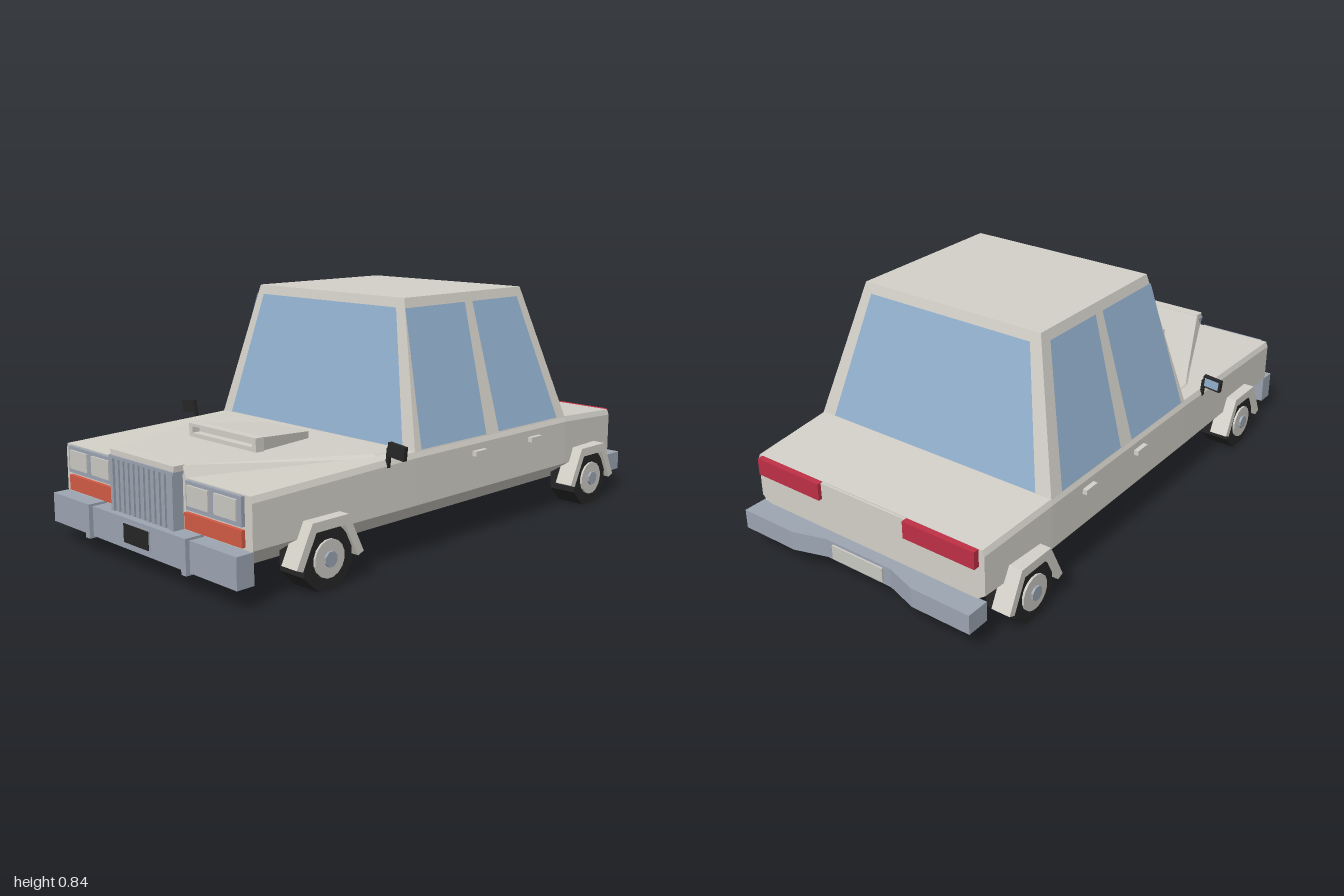
import * as THREE from 'three';

const mat = (name, color, extra = {}) => {
  const m = new THREE.MeshStandardMaterial({ color, flatShading: true, ...extra });
  m.name = name;
  return m;
};

// Skins matching cross-sections, listed front to back, each counter-clockwise seen from +z.
function loft(sections) {
  const pos = [];
  const tri = (...p) => p.forEach((v) => pos.push(...v));
  const n = sections[0].length;
  for (let s = 0; s < sections.length - 1; s++) {
    const a = sections[s], b = sections[s + 1];
    for (let i = 0; i < n; i++) {
      const j = (i + 1) % n;
      tri(a[i], b[i], a[j]);
      tri(a[j], b[i], b[j]);
    }
  }
  const first = sections[0], last = sections[sections.length - 1];
  for (let i = 1; i < n - 1; i++) {
    tri(first[0], first[i], first[i + 1]);
    tri(last[0], last[i + 1], last[i]);
  }
  const g = new THREE.BufferGeometry();
  g.setAttribute('position', new THREE.Float32BufferAttribute(pos, 3));
  g.computeVertexNormals();
  return g;
}

// Mirrored section from its +x half, given bottom to top.
const section = (z, half) => [
  ...half.map(([x, y]) => [x, y, z]),
  ...half.slice().reverse().map(([x, y]) => [-x, y, z]),
];

export function createModel() {
  const car = new THREE.Group();
  car.name = 'car';
  const paint = mat('paint', 0xd3d0c8);
  const glass = mat('glass', 0x93b1cf, { side: THREE.DoubleSide });
  const chrome = mat('chrome', 0x9ca5b2);
  const shade = mat('grilleShade', 0x737b87);
  const lamp = mat('lamp', 0xcac9c2);
  const amber = mat('amber', 0xd25a44);
  const red = mat('red', 0xbf3045);
  const black = mat('black', 0x262626);

  const add = (name, geo, m, x = 0, y = 0, z = 0) => {
    const mesh = new THREE.Mesh(geo, m);
    mesh.name = name;
    mesh.position.set(x, y, z);
    car.add(mesh);
    return mesh;
  };
  // Box given by its extents
  const box = (name, m, x0, x1, y0, y1, z0, z1) =>
    add(name, new THREE.BoxGeometry(x1 - x0, y1 - y0, z1 - z0), m, (x0 + x1) / 2, (y0 + y1) / 2, (z0 + z1) / 2);
  // The same box on both sides
  const pair = (name, m, x0, x1, ...rest) => {
    box(name, m, x0, x1, ...rest);
    box(name, m, -x1, -x0, ...rest);
  };

  // Lower body with tucked-in sills
  const hull = (z, w, top) => section(z, [[0.34, 0.07], [w, 0.175], [w, top - 0.02], [w - 0.008, top]]);
  add('body', loft([hull(0.925, 0.5, 0.338), hull(0.23, 0.505, 0.356), hull(-0.6, 0.505, 0.356), hull(-0.92, 0.487, 0.336)]), paint);

  // Raised bonnet centre, widening to the windscreen
  add('bonnet', loft([
    section(0.925, [[0.19, 0.33], [0.17, 0.375]]),
    section(0.36, [[0.45, 0.345], [0.435, 0.36]]),
    section(0.22, [[0.46, 0.345], [0.45, 0.357]]),
  ]), paint);

  // Bonnet scoop with a recessed mouth
  add('scoop', loft([
    section(0.61, [[0.17, 0.36], [0.17, 0.411]]),
    section(0.35, [[0.11, 0.35], [0.11, 0.384]]),
  ]), paint);
  box('scoopLip', paint, -0.177, 0.177, 0.404, 0.414, 0.605, 0.64);
  box('scoopFloor', paint, -0.177, 0.177, 0.36, 0.382, 0.605, 0.64);
  pair('scoopCheek', paint, 0.158, 0.177, 0.36, 0.414, 0.605, 0.64);

  // Cabin: a tapered block, defined by its base and roof rectangles
  const y0 = 0.354, y1 = 0.845;
  const at = (y, a, b) => a + (b - a) * (y - y0) / (y1 - y0);
  const sideX = (y) => at(y, 0.5, 0.368);
  const frontZ = (y) => at(y, 0.235, 0.15);
  const rearZ = (y) => at(y, -0.6, -0.475);
  add('cabin', loft([
    [[0.5, y0, 0.235], [0.368, y1, 0.15], [-0.368, y1, 0.15], [-0.5, y0, 0.235]],
    [[0.5, y0, -0.6], [0.368, y1, -0.475], [-0.368, y1, -0.475], [-0.5, y0, -0.6]],
  ]), paint);

  // Windows: flat panes just proud of the cabin
  const pane = (name, p) => {
    const g = new THREE.BufferGeometry();
    g.setAttribute('position', new THREE.Float32BufferAttribute([0, 1, 2, 0, 2, 3].flatMap((i) => p[i]), 3));
    g.computeVertexNormals();
    add(name, g, glass);
  };
  const lo = 0.36, hi = 0.812, gap = 0.004;
  const screen = (name, zAt, d, wLo, wHi) => {
    const f = Math.sign(d);
    pane(name, [[-f * wLo, lo, zAt(lo) + d], [f * wLo, lo, zAt(lo) + d], [f * wHi, hi, zAt(hi) + d], [-f * wHi, hi, zAt(hi) + d]]);
  };
  screen('windscreen', frontZ, gap, 0.447, 0.34);
  screen('rearWindow', rearZ, -gap, 0.44, 0.335);
  for (const s of [1, -1]) {
    for (const [name, a, b, c, d] of [
      ['frontSideWindow', 0.206, -0.131, -0.147, 0.158],
      ['rearSideWindow', -0.2, -0.545, -0.442, -0.188],
    ]) {
      const xl = s * (sideX(lo) + gap), xh = s * (sideX(hi) + gap);
      const p = [[xl, lo, a], [xl, lo, b], [xh, hi, c], [xh, hi, d]];
      pane(name, s > 0 ? p : p.reverse());
    }
  }

  // Wheels and arch flares
  const disc = (r, w, n) => new THREE.CylinderGeometry(r, r, w, n).rotateY(Math.PI / n).rotateZ(Math.PI / 2);
  const archShape = new THREE.Shape([
    [-0.14, 0.095], [-0.115, 0.085], [-0.06, 0.195], [0.06, 0.195], [0.115, 0.085], [0.14, 0.095], [0.075, 0.227], [-0.075, 0.227],
  ].map(([x, y]) => new THREE.Vector2(x, y)));
  const arch = new THREE.ExtrudeGeometry(archShape, { depth: 0.07, bevelEnabled: false }).rotateY(Math.PI / 2);
  for (const z of [0.655, -0.735]) {
    for (const s of [1, -1]) {
      add('tyre', disc(0.108, 0.11, 8), black, s * 0.475, 0.1, z);
      add('wheelDisc', disc(0.062, 0.02, 16), lamp, s * 0.528, 0.1, z);
      add('hubCap', disc(0.026, 0.02, 8), chrome, s * 0.536, 0.1, z);
      add('wheelArch', arch, paint, s > 0 ? 0.473 : -0.543, 0, z);
    }
  }

  // Front bumper with guards and number plate
  box('frontBumper', chrome, -0.498, 0.498, 0.07, 0.172, 0.92, 0.985);
  pair('bumperGuard', chrome, 0.252, 0.276, 0.063, 0.18, 0.93, 1.0);
  box('frontPlate', black, -0.067, 0.067, 0.092, 0.154, 0.98, 0.99);
  box('frontPlateFrame', chrome, -0.072, 0.072, 0.087, 0.159, 0.98, 0.987);

  // Grille: shaded back, frame and upright bars
  box('grilleBack', shade, -0.165, 0.165, 0.172, 0.352, 0.92, 0.945);
  pair('grilleSide', chrome, 0.155, 0.17, 0.172, 0.355, 0.92, 0.965);
  box('grilleTop', chrome, -0.175, 0.175, 0.348, 0.358, 0.92, 0.965);
  box('grilleCap', paint, -0.172, 0.172, 0.358, 0.376, 0.915, 0.96);
  for (let i = 0; i < 11; i++) {
    const x = -0.14 + i * 0.028;
    box('grilleBar', chrome, x - 0.009, x + 0.009, 0.172, 0.35, 0.94, 0.96);
  }

  // Front lamps
  pair('headlampHousing', chrome, 0.2, 0.466, 0.243, 0.335, 0.915, 0.938);
  pair('innerHeadlamp', lamp, 0.213, 0.317, 0.259, 0.324, 0.93, 0.945);
  pair('outerHeadlamp', lamp, 0.344, 0.449, 0.259, 0.324, 0.93, 0.945);
  pair('indicator', amber, 0.19, 0.466, 0.18, 0.233, 0.915, 0.938);

  // Rear bumper, stepped in around the number plate
  const plan = new THREE.Shape([
    [-0.488, 0.915], [0.488, 0.915], [0.488, 1], [0.26, 1], [0.14, 0.963], [-0.14, 0.963], [-0.26, 1], [-0.488, 1],
  ].map(([x, y]) => new THREE.Vector2(x, y)));
  add('rearBumper', new THREE.ExtrudeGeometry(plan, { depth: 0.07, bevelEnabled: false }).rotateX(-Math.PI / 2), chrome, 0, 0.083, 0);
  box('rearPlate', lamp, -0.11, 0.11, 0.092, 0.144, -0.97, -0.961);

  // Tail lamps and the panel between them
  pair('tailLamp', red, 0.182, 0.465, 0.273, 0.335, -0.942, -0.91);
  box('tailPanel', paint, -0.182, 0.182, 0.273, 0.333, -0.928, -0.91);

  // Door handles and mirrors
  for (const z of [-0.085, -0.4]) pair('doorHandle', paint, 0.5, 0.522, 0.295, 0.313, z - 0.031, z + 0.031);
  for (const s of [1, -1]) {
    const mirror = new THREE.Group();
    mirror.name = 'mirror';
    const part = (name, w, h, d, m, x, y, z) => {
      const mesh = new THREE.Mesh(new THREE.BoxGeometry(w, h, d), m);
      mesh.name = name;
      mesh.position.set(x, y, z);
      mirror.add(mesh);
    };
    part('mirrorShell', 0.072, 0.046, 0.016, black, 0, 0, 0);
    part('mirrorGlass', 0.056, 0.032, 0.004, glass, 0, 0, -0.008);
    part('mirrorStem', 0.012, 0.065, 0.012, black, -s * 0.036, -0.03, 0);
    mirror.position.set(s * 0.543, 0.386, 0.365);
    mirror.rotation.z = -s * 0.1;
    car.add(mirror);
  }
  return car;
}
